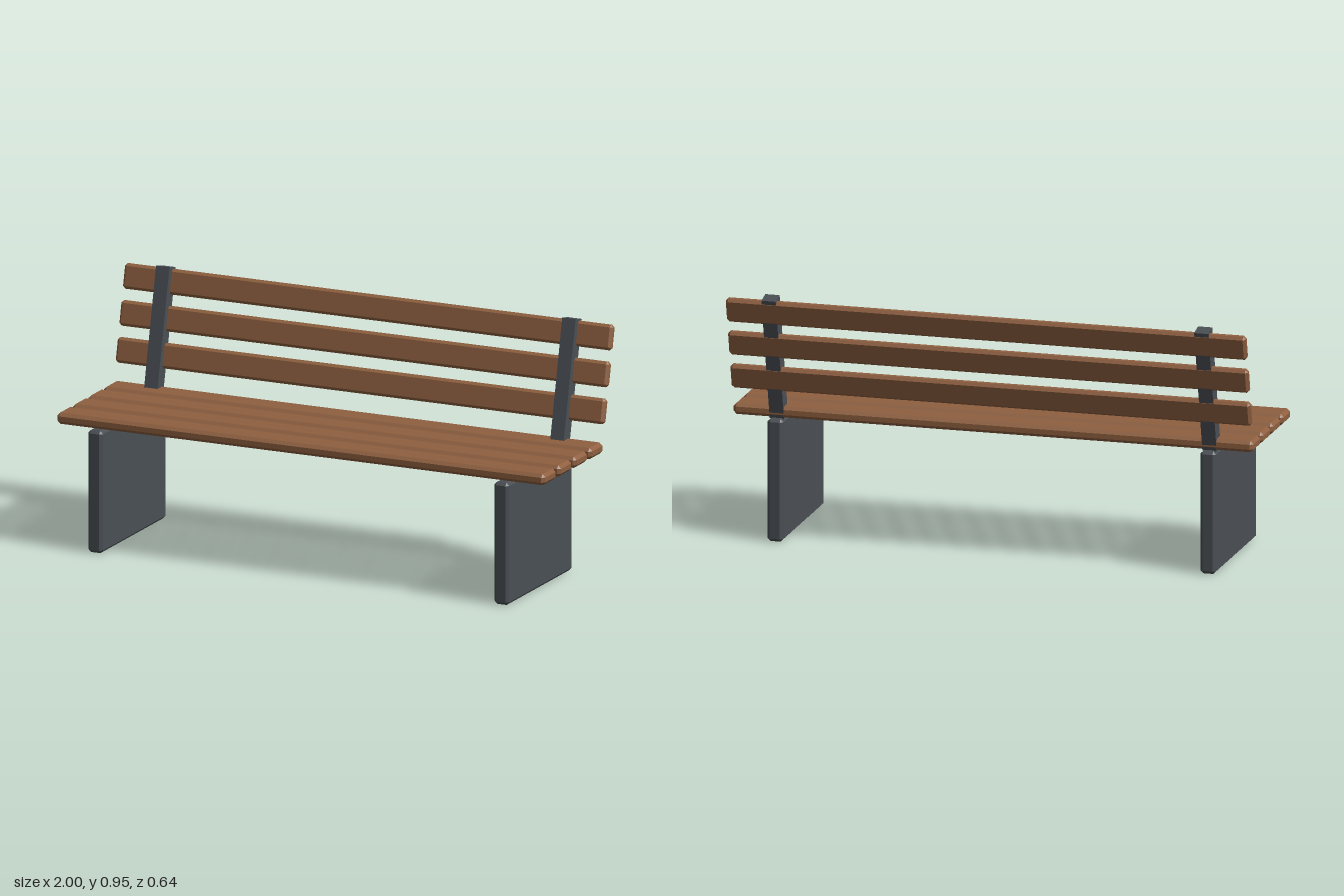
import * as THREE from 'three';
import { ConvexGeometry } from 'three/addons/geometries/ConvexGeometry.js';

// Box with every edge cut by a flat chamfer c
function chamferBox(w, h, d, c) {
  const points = [];
  for (const sx of [-1, 1]) for (const sy of [-1, 1]) for (const sz of [-1, 1]) {
    const x = w / 2, y = h / 2, z = d / 2;
    points.push(
      new THREE.Vector3(sx * x, sy * (y - c), sz * (z - c)),
      new THREE.Vector3(sx * (x - c), sy * y, sz * (z - c)),
      new THREE.Vector3(sx * (x - c), sy * (y - c), sz * z),
    );
  }
  return new ConvexGeometry(points);
}

export function createModel() {
  const bench = new THREE.Group();
  bench.name = 'bench';
  const wood = new THREE.MeshStandardMaterial({ color: 0x8f6040 });
  wood.name = 'brown wood';
  const metal = new THREE.MeshStandardMaterial({ color: 0x4a4f54 });
  metal.name = 'dark grey metal';

  const add = (parent, name, geometry, material, x, y, z) => {
    const mesh = new THREE.Mesh(geometry, material);
    mesh.name = name;
    mesh.position.set(x, y, z);
    parent.add(mesh);
  };

  // Seat slats, front to back
  const seatSlat = chamferBox(2, 0.043, 0.11, 0.012);
  for (let i = 0; i < 4; i++) {
    add(bench, `seatSlat${i + 1}`, seatSlat, wood, 0, 0.491, 0.243 - i * 0.1335);
  }

  // Reclined backrest, centred on its posts
  const backrest = new THREE.Group();
  backrest.name = 'backrest';
  backrest.position.set(0, 0.709, -0.236);
  backrest.rotation.x = -0.227;
  bench.add(backrest);

  const backSlat = chamferBox(2, 0.095, 0.032, 0.01);
  for (let i = 0; i < 3; i++) {
    add(backrest, `backSlat${i + 1}`, backSlat, wood, 0, -0.084 + i * 0.1375, -0.012);
  }

  // Side panels and back posts, mirrored left and right
  const panel = chamferBox(0.06, 0.468, 0.555, 0.011);
  const post = new THREE.BoxGeometry(0.055, 0.49, 0.054);
  for (const [side, s] of [['left', 1], ['right', -1]]) {
    add(bench, `${side}LegPanel`, panel, metal, s * 0.832, 0.234, 0.042);
    add(backrest, `${side}BackPost`, post, metal, s * 0.832, 0, 0);
  }

  return bench;
}
